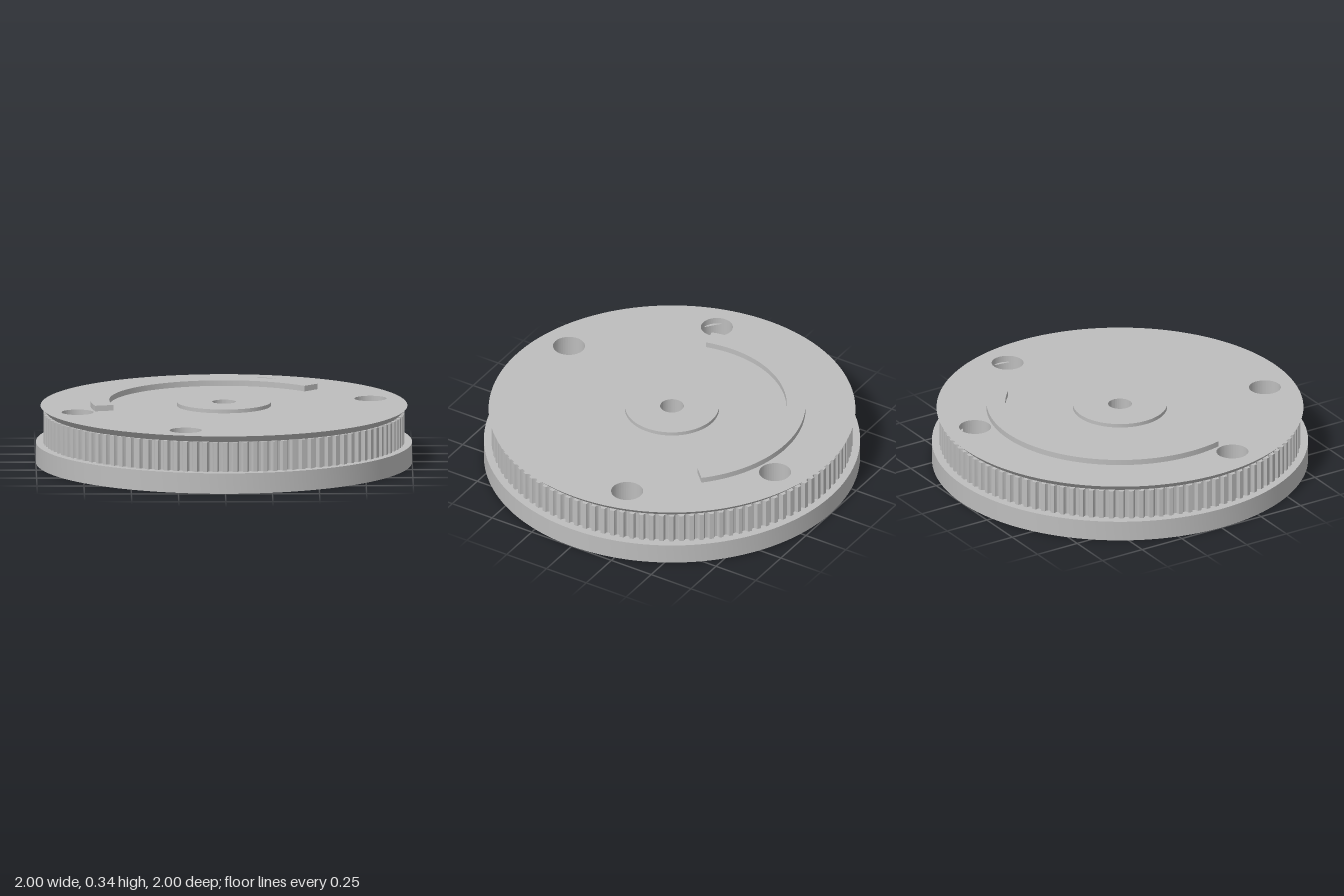
import * as THREE from 'three';
import { toCreasedNormals } from 'three/addons/utils/BufferGeometryUtils.js';

const BORE = 0.063, BOLT = 0.05, COUNTERBORE = 0.085;
const BOLTS = [[0.21, 0.78], [0.78, 0.21], [-0.78, -0.21], [-0.21, -0.78]];
const TEETH = 112, TIP = 0.96, ROOT = 0.94;

function disc(radius) {
  return new THREE.Shape().absarc(0, 0, radius, 0, Math.PI * 2, false);
}

function cutHole(shape, x, y, radius) {
  shape.holes.push(new THREE.Path().absarc(x, y, radius, 0, Math.PI * 2, true));
}

function cutAllHoles(shape, boltRadius) {
  cutHole(shape, 0, 0, BORE);
  BOLTS.forEach(([x, y]) => cutHole(shape, x, y, boltRadius));
  return shape;
}

// Stand a flat outline upright between two heights
function slab(shape, bottom, top, curveSegments = 96) {
  const geometry = new THREE.ExtrudeGeometry(shape, { depth: top - bottom, bevelEnabled: false, curveSegments });
  return geometry.rotateX(-Math.PI / 2).translate(0, bottom, 0);
}

// Belt gear outline: rounded grooves between flat-topped teeth
function gearOutline() {
  const groove = [[0.2, TIP], [0.27, ROOT + 0.008], [0.38, ROOT + 0.001],
    [0.62, ROOT + 0.001], [0.73, ROOT + 0.008], [0.8, TIP]];
  const points = [];
  for (let i = 0; i < TEETH; i++) {
    for (const [step, r] of groove) {
      const a = ((i + step) / TEETH) * Math.PI * 2;
      points.push(new THREE.Vector2(Math.cos(a) * r, Math.sin(a) * r));
    }
  }
  return new THREE.Shape(points);
}

// Upper flange: the lower edge of the rim is drawn in to make a cone
function flangeGeometry() {
  const bottom = 0.27, top = 0.305, rim = 0.975;
  const geometry = slab(cutAllHoles(disc(rim), COUNTERBORE), bottom, top);
  const p = geometry.attributes.position;
  for (let i = 0; i < p.count; i++) {
    const r = Math.hypot(p.getX(i), p.getZ(i));
    if (r > rim - 0.01 && p.getY(i) < bottom + 0.01) {
      p.setX(i, (p.getX(i) * ROOT) / r);
      p.setZ(i, (p.getZ(i) * ROOT) / r);
    }
  }
  return geometry;
}

// Curved rib on the top face
function ribOutline() {
  const start = Math.PI / 4, end = start + (Math.PI * 5) / 6;
  const shape = new THREE.Shape();
  shape.absarc(0, 0, 0.71, start, end, false);
  shape.absarc(0, 0, 0.61, end, start, true);
  return shape;
}

export function createModel() {
  const group = new THREE.Group();
  const grey = new THREE.MeshStandardMaterial({ color: 0xbdbdbd });
  grey.name = 'grey';

  function add(name, geometry) {
    const mesh = new THREE.Mesh(toCreasedNormals(geometry, 0.4), grey);
    mesh.name = name;
    group.add(mesh);
  }

  const hub = disc(0.25);
  cutHole(hub, 0, 0, BORE);

  add('basePlate', slab(cutAllHoles(disc(1), BOLT), 0, 0.11));
  add('toothedRing', slab(cutAllHoles(gearOutline(), COUNTERBORE), 0.11, 0.27));
  add('upperFlange', flangeGeometry());
  add('hub', slab(hub, 0.305, 0.325));
  add('curvedRib', slab(ribOutline(), 0.305, 0.335));
  return group;
}
